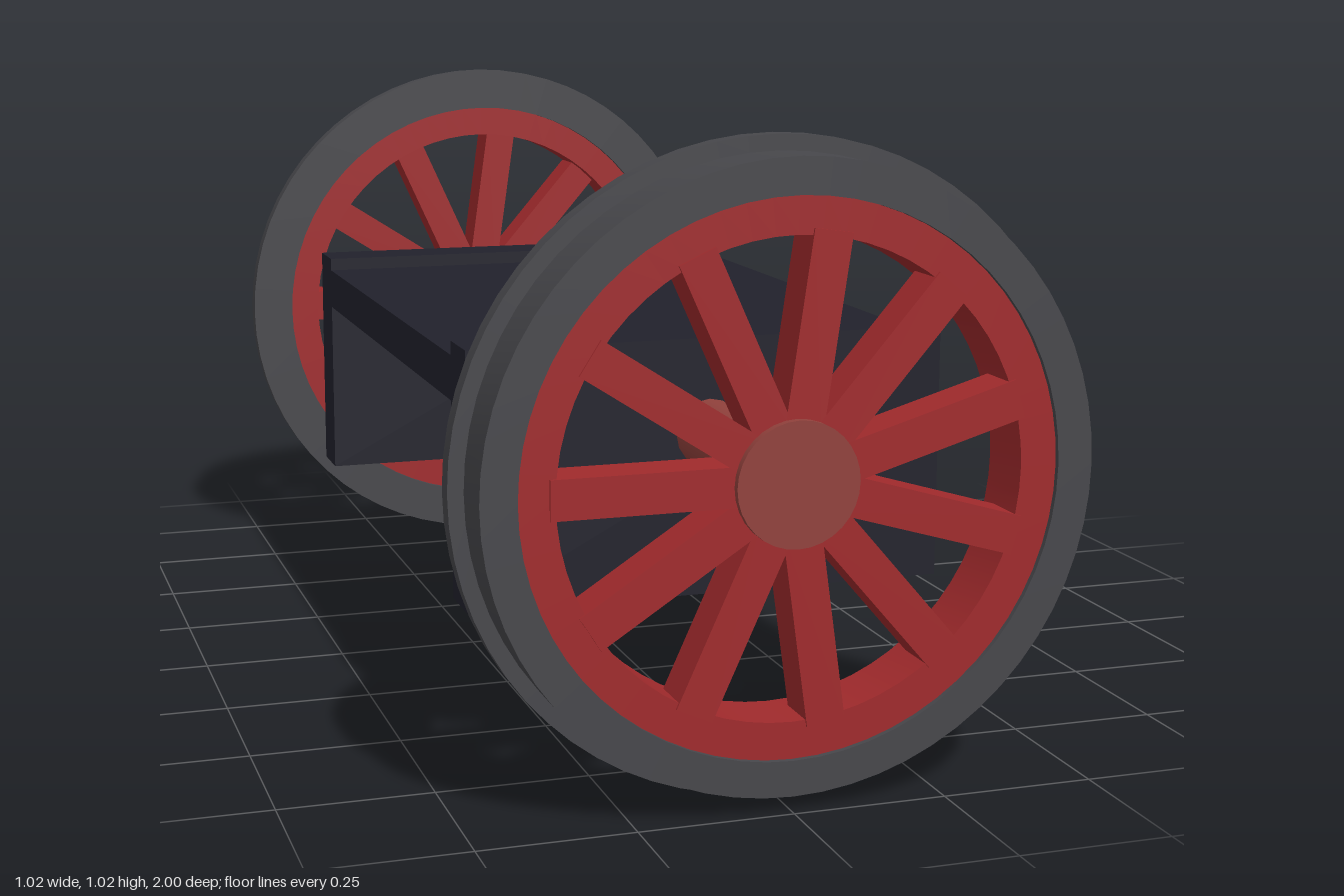
import * as THREE from 'three';
import { toCreasedNormals } from 'three/addons/utils/BufferGeometryUtils.js';

const AXLE_Y = 0.515;
const SPOKES = 11;

function material(name, color) {
  const m = new THREE.MeshStandardMaterial({ color });
  m.name = name;
  return m;
}

function mesh(name, geometry, mat, parent) {
  const m = new THREE.Mesh(geometry, mat);
  m.name = name;
  parent.add(m);
  return m;
}

// Ring turned around the z axis from a closed profile of [radius, z]
function ring(profile) {
  const points = [...profile, profile[0]].map(([r, z]) => new THREE.Vector2(r, z));
  const g = new THREE.LatheGeometry(points, 64).rotateX(Math.PI / 2);
  // turning the lathe axis from y to z keeps profile heights as z
  return toCreasedNormals(g, 0.6);
}

// Round bar along z
function bar(radius, z0, z1, sides) {
  return new THREE.CylinderGeometry(radius, radius, z1 - z0, sides)
    .rotateX(Math.PI / 2)
    .translate(0, 0, (z0 + z1) / 2);
}

function box(w, h, d, x, y, z) {
  return new THREE.BoxGeometry(w, h, d).translate(x, y, z);
}

function createWheel(name, mats) {
  const wheel = new THREE.Group();
  wheel.name = name;

  // Tyre with a wider flange on the inner side
  mesh('tyre', ring([
    [0.43, 0.87], [0.512, 0.87], [0.512, 0.902],
    [0.487, 0.902], [0.487, 0.993], [0.43, 0.993],
  ]), mats.steel, wheel);

  // Rim inside the tyre
  mesh('rim', ring([
    [0.371, 0.88], [0.432, 0.88], [0.432, 0.984], [0.371, 0.984],
  ]), mats.red, wheel);

  // Spokes
  const spokeGeometry = box(0.32, 0.062, 0.075, 0.22, 0, 0.95);
  for (let i = 0; i < SPOKES; i++) {
    const spoke = mesh('spoke', spokeGeometry, mats.red, wheel);
    spoke.rotation.z = Math.PI + (i * 2 * Math.PI) / SPOKES;
  }

  mesh('hub', bar(0.098, 0.87, 1, 32), mats.axle, wheel);
  return wheel;
}

export function createModel() {
  const model = new THREE.Group();
  model.name = 'wheelset';
  const mats = {
    steel: material('dark grey steel', 0x47474b),
    red: material('wheel red', 0xa02a2c),
    axle: material('brownish red', 0x91413c),
    frame: material('blue black', 0x21212c),
  };

  // Wheels and axle
  const wheelset = new THREE.Group();
  wheelset.name = 'wheelsAndAxle';
  wheelset.position.y = AXLE_Y;
  const rear = createWheel('rearWheel', mats);
  rear.rotation.x = Math.PI;
  wheelset.add(createWheel('frontWheel', mats), rear);
  mesh('axle', bar(0.057, -0.9, 0.9, 16), mats.axle, wheelset);
  model.add(wheelset);

  // Frame: top deck between two upright plates
  const frame = new THREE.Group();
  frame.name = 'frame';
  mesh('deck', box(0.82, 0.075, 1.04, 0, 0.612, 0), mats.frame, frame);
  for (const side of [1, -1]) {
    mesh(side > 0 ? 'frontPlate' : 'rearPlate',
      box(0.82, 0.43, 0.098, 0, 0.458, side * 0.56), mats.frame, frame);
  }
  model.add(frame);

  return model;
}
